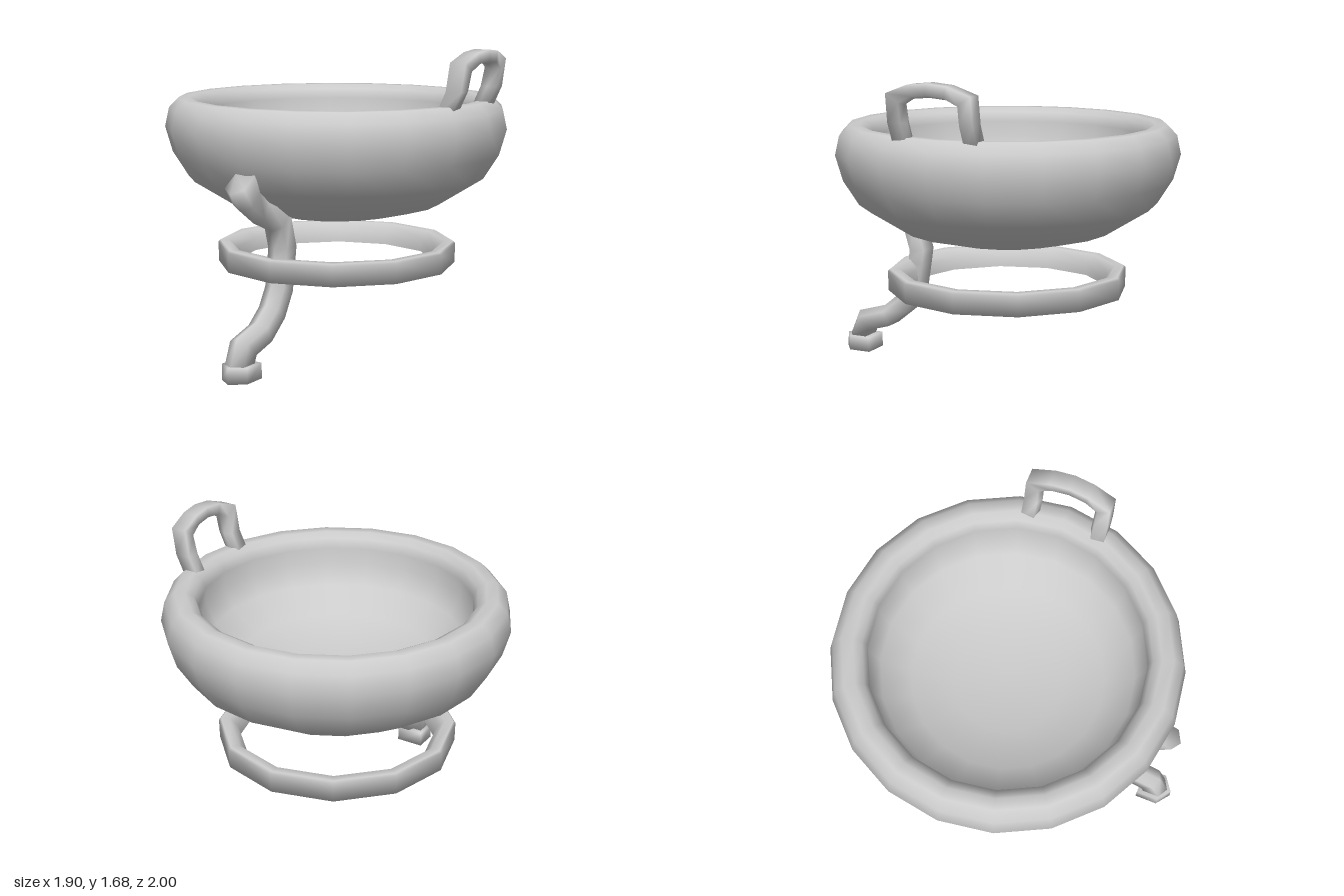
import * as THREE from 'three';

const AXIS_Z = -0.05; // centre line of bowl and ring

export function createModel() {
  const group = new THREE.Group();
  const material = new THREE.MeshStandardMaterial({ color: 0xcccccc });

  const add = (name, geometry, z) => {
    const mesh = new THREE.Mesh(geometry, material);
    mesh.name = name;
    mesh.position.z = z;
    group.add(mesh);
  };

  const lathe = (profile, sides) =>
    new THREE.LatheGeometry(profile.map(([r, y]) => new THREE.Vector2(r, y)), sides);

  // Five-sided section: flat on one side, a blunt ridge on the other
  const section = (w, d, shoulder, flip) =>
    [[w, -d], [w, shoulder], [0, d], [-w, shoulder], [-w, -d]]
      .map(([x, n]) => [x * flip, n * flip]);

  // Bar along a path that bends in the yz plane, with mitred joints.
  // Each path point is [x, y, z, thickness factor].
  const bar = (path, profile) => {
    const sides = profile.length;
    const direction = (a, b) => new THREE.Vector2(b[1] - a[1], b[2] - a[2]).normalize();
    const positions = [];
    const index = [];
    path.forEach((p, i) => {
      const next = i < path.length - 1 ? direction(p, path[i + 1]) : null;
      const before = i > 0 ? direction(path[i - 1], p) : next;
      const after = next || before;
      const t = before.clone().add(after).normalize();
      const scale = p[3] / t.dot(after);
      for (const [x, n] of profile) {
        positions.push(p[0] + x, p[1] + t.y * n * scale, p[2] - t.x * n * scale);
      }
    });
    const last = (path.length - 1) * sides;
    for (let i = 0; i < last; i += sides) {
      for (let j = 0; j < sides; j++) {
        const a = i + j;
        const b = i + ((j + 1) % sides);
        index.push(a, b, b + sides, a, b + sides, a + sides);
      }
    }
    for (let j = 1; j < sides - 1; j++) {
      index.push(0, j + 1, j, last, last + j, last + j + 1);
    }
    const geometry = new THREE.BufferGeometry();
    geometry.setAttribute('position', new THREE.Float32BufferAttribute(positions, 3));
    geometry.setIndex(index);
    geometry.computeVertexNormals();
    return geometry;
  };

  // Thick-walled bowl: outside from the bottom up, over the rim, down the inside
  add('bowl', lathe([
    [0, 0.71], [0.15, 0.717], [0.36, 0.748], [0.58, 0.803], [0.823, 0.955],
    [0.908, 1.09], [0.948, 1.23], [0.925, 1.335], [0.872, 1.39],
    [0.81, 1.39], [0.765, 1.365], [0.742, 1.31], [0.745, 1.22],
    [0.69, 1.1], [0.53, 0.985], [0.3, 0.925], [0.1, 0.905], [0, 0.905],
  ], 20), AXIS_Z);

  // Twelve-sided ring, flat outside and below, sloped on the upper inside
  add('supportRing', lathe([
    [0.555, 0.46], [0.665, 0.456], [0.667, 0.565], [0.655, 0.577],
    [0.605, 0.577], [0.56, 0.53], [0.555, 0.46],
  ], 12), AXIS_Z);

  // Curved leg, from the foot up to the outside of the bowl, ridge forward
  add('leg', bar([
    [0, 0.06, 0.92, 1], [0, 0.175, 0.872, 1], [0, 0.22, 0.715, 1], [0, 0.305, 0.61, 1],
    [0, 0.415, 0.545, 1], [0, 0.56, 0.522, 1], [0, 0.63, 0.512, 1], [0, 0.775, 0.555, 1],
    [0, 0.85, 0.73, 1], [0, 0.921, 0.83, 1.05], [0, 1.018, 0.893, 1.35],
  ], section(0.06, 0.06, 0.028, -1)), 0);

  // Foot block with its ridge pointing forward
  add('foot', bar([[0, 0, 0.905, 1], [0, 0.085, 0.905, 0.97]],
    section(0.08, 0.095, 0.035, -1)), 0);

  // Arched handle on the left side of the rim, ridge facing the opening
  const half = [
    [0.79, 1.34, 0.193, 1], [0.85, 1.47, 0.193, 1],
    [0.872, 1.59, 0.193, 0.95], [0.884, 1.63, 0.1, 0.8],
  ];
  const handlePath = [
    ...half,
    [0.89, 1.64, 0, 0.8],
    ...half.map(([x, y, z, s]) => [x, y, -z, s]).reverse(),
  ];
  add('handle', bar(handlePath, section(0.045, 0.046, 0.028, 1)), -0.045);

  return group;
}
